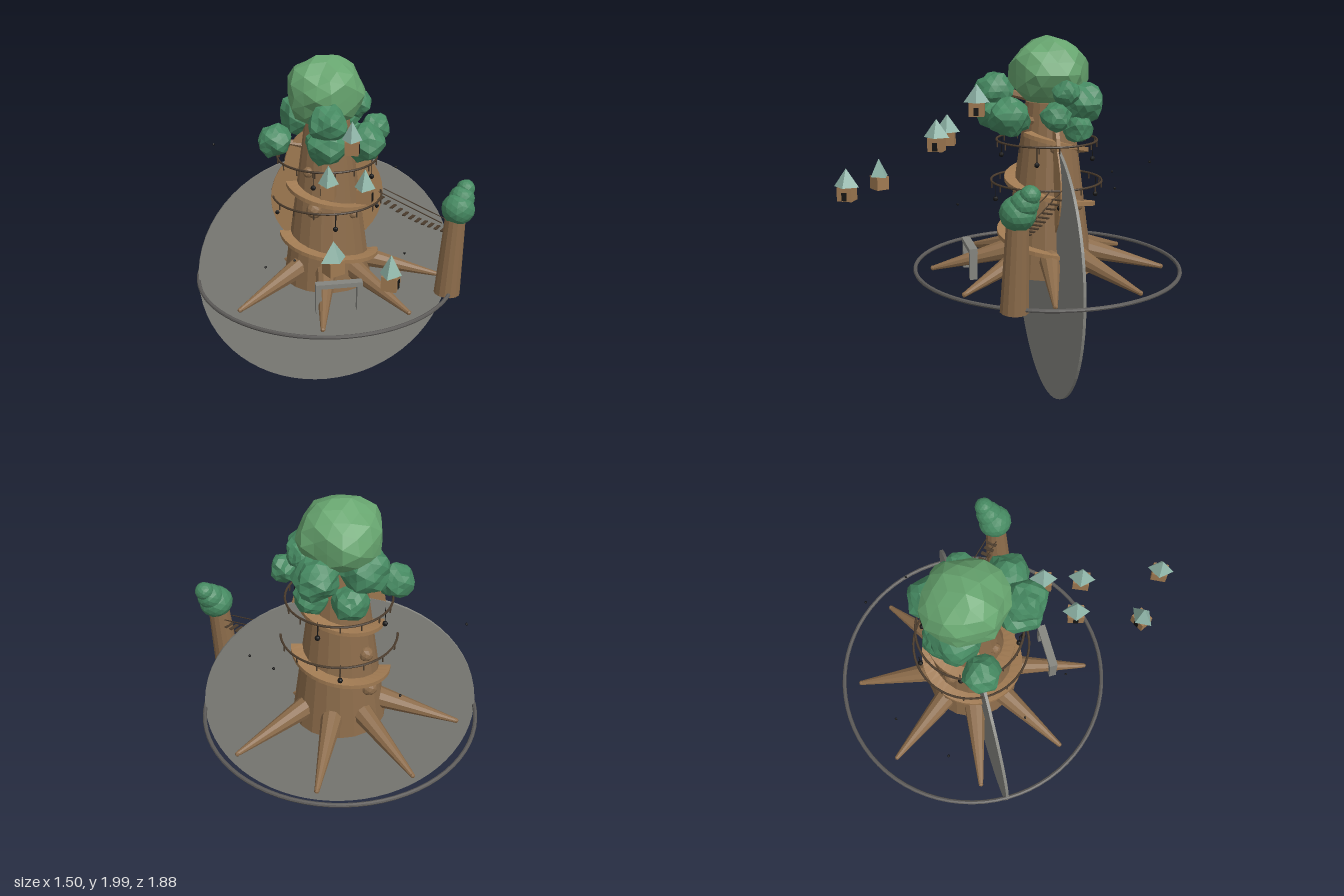
import * as THREE from 'three';

const CX = -0.01, CZ = -0.2, GROUND = 0.735;
const mat = (color, side = THREE.FrontSide) => new THREE.MeshStandardMaterial({ color, side, flatShading: true });
const bark = mat(0x8b6b4a), wood = mat(0xa07a52), darkWood = mat(0x4a3b2c), stone = mat(0x85857f);
const rimStone = mat(0x5c5a58), leaf = mat(0x67a56f), leafDark = mat(0x468a62), roofMat = mat(0x8fb5a8), black = mat(0x151515);
const deckMat = mat(0xa07a52, THREE.DoubleSide);
const V = (x, y, z) => new THREE.Vector3(x, y, z);
const trunkRadius = y => 0.25 - 0.137 * (y - GROUND);

export function createModel() {
  const model = new THREE.Group();

  const add = (name, geometry, material, p = [0, 0, 0], parent = model) => {
    const mesh = new THREE.Mesh(geometry, material);
    mesh.name = name;
    mesh.position.set(...p);
    parent.add(mesh);
    return mesh;
  };

  // Tapered rod from point a to point b
  const rod = (name, a, b, r0, r1, material, sides = 8) => {
    const d = b.clone().sub(a);
    const mesh = add(name, new THREE.CylinderGeometry(r1, r0, d.length(), sides), material);
    mesh.position.copy(a).add(b).multiplyScalar(0.5);
    mesh.quaternion.setFromUnitVectors(V(0, 1, 0), d.normalize());
    return mesh;
  };

  // Lumpy low-poly leaf mass
  const blob = (name, x, y, z, rx, ry, material, bump = 0.11, detail = 2) => {
    const g = new THREE.IcosahedronGeometry(1, detail), p = g.attributes.position, v = V(0, 0, 0);
    for (let i = 0; i < p.count; i++) {
      v.fromBufferAttribute(p, i).normalize();
      const n = Math.sin(v.x * 5 + x * 30) * Math.sin(v.y * 5 + y * 20) + 0.7 * Math.sin(v.z * 6 + v.x * 3 + z * 25);
      v.multiplyScalar(1 + bump * n);
      p.setXYZ(i, v.x * rx, v.y * ry, v.z * rx);
    }
    g.computeVertexNormals();
    return add(name, g, material, [x, y, z]);
  };

  // Upright stone disc and level rim
  add('groundDisc', new THREE.CylinderGeometry(0.73, 0.73, 0.015, 64), stone, [-0.015, GROUND, CZ]).rotation.x = Math.PI / 2;
  add('groundRim', new THREE.TorusGeometry(0.73, 0.011, 8, 72), rimStone, [-0.015, 0.745, CZ]).rotation.x = Math.PI / 2;

  // Trunk
  const trunkTop = 1.66, h = trunkTop - GROUND;
  add('trunk', new THREE.CylinderGeometry(trunkRadius(trunkTop), 0.25, h, 20), bark, [CX, GROUND + h / 2, CZ]);

  // Roots, evenly spread with blunt tips
  for (let i = 0; i < 8; i++) {
    const a = 0.19 + i * Math.PI / 4, c = Math.cos(a), s = Math.sin(a);
    rod('root', V(CX + c * 0.15, 0.86, CZ + s * 0.15), V(CX + c * 0.63, 0.735, CZ + s * 0.63), 0.065, 0.013, bark, 10);
    add('rootTip', new THREE.SphereGeometry(0.014, 6, 5), bark, [CX + c * 0.635, 0.734, CZ + s * 0.635]);
  }

  // Knots: angle, height, radius
  for (const [a, y, r] of [[2.1, 1.2, 0.045], [0.9, 1.16, 0.025], [0, 1.43, 0.032], [3.93, 1.2, 0.04], [3.93, 1.0, 0.045], [5.6, 1.12, 0.03], [2.4, 1.4, 0.03]])
    add('knot', new THREE.IcosahedronGeometry(r, 1), bark,
      [CX + Math.cos(a) * trunkRadius(y), y, CZ + Math.sin(a) * trunkRadius(y)]);

  // Spiral ramp: a rectangular section swept up the trunk
  const steps = 84, pos = [], idx = [];
  for (let i = 0; i <= steps; i++) {
    const t = i / steps * 2.15, a = t * Math.PI * 2, y = 0.87 + 0.295 * t, r = trunkRadius(y);
    for (const [dr, dy] of [[-0.02, -0.011], [0.058, -0.011], [0.058, 0.011], [-0.02, 0.011]])
      pos.push(CX + Math.cos(a) * (r + dr), y + dy, CZ + Math.sin(a) * (r + dr));
    if (i < steps) for (let k = 0; k < 4; k++) {
      const p = i * 4 + k, q = i * 4 + (k + 1) % 4;
      idx.push(p, q, q + 4, p, q + 4, p + 4);
    }
  }
  const e = steps * 4;
  idx.push(0, 2, 1, 0, 3, 2, e, e + 1, e + 2, e, e + 2, e + 3);
  const ramp = new THREE.BufferGeometry();
  ramp.setAttribute('position', new THREE.Float32BufferAttribute(pos, 3));
  ramp.setIndex(idx);
  ramp.computeVertexNormals();
  add('spiralRamp', ramp, deckMat);

  // Upright decks, railings with posts, hanging lanterns
  for (const [deckY, deckR, railY, railR, turn] of [[1.22, 0.312, 1.235, 0.3, 0], [1.4, 0.235, 1.455, 0.27, 0.45]]) {
    add('deck', new THREE.CylinderGeometry(deckR, deckR, 0.02, 32), wood, [CX, deckY, CZ + 0.005]).rotation.x = Math.PI / 2;
    add('railing', new THREE.TorusGeometry(railR, 0.006, 6, 48), darkWood, [CX, railY, CZ + 0.01]).rotation.x = Math.PI / 2;
    for (let i = 0; i < 16; i++) {
      const a = i * Math.PI / 8;
      add('railPost', new THREE.CylinderGeometry(0.004, 0.004, 0.036, 5), darkWood,
        [CX + Math.cos(a) * railR, railY - 0.016, CZ + 0.01 + Math.sin(a) * railR]);
    }
    for (let i = 0; i < 4; i++) {
      const a = turn + i * Math.PI / 2, r = railR - 0.02;
      const x = CX + Math.cos(a) * r, z = CZ + 0.01 + Math.sin(a) * r;
      add('lantern', new THREE.SphereGeometry(0.014, 8, 6), black, [x, railY - 0.095, z]);
      rod('lanternCord', V(x, railY - 0.09, z), V(x, railY, z), 0.002, 0.002, black, 4);
    }
  }

  // Canopy: one large crown over a ring of smaller clumps
  blob('crown', -0.02, 1.81, -0.2, 0.21, 0.185, leaf, 0.07);
  for (const [x, y, z, r] of [[-0.29, 1.55, -0.2, 0.09], [-0.05, 1.72, 0.08, 0.1], [0.15, 1.6, 0.05, 0.105],
    [-0.05, 1.6, 0.06, 0.11], [0.25, 1.61, -0.17, 0.075], [0.17, 1.72, -0.24, 0.07], [-0.06, 1.52, -0.35, 0.09],
    [0.1, 1.66, -0.35, 0.11], [-0.13, 1.66, -0.28, 0.12], [0.13, 1.53, -0.32, 0.08]]) {
    blob('leafClump', x, y, z, r, r * 0.95, leafDark);
    rod('branch', V(CX, y - 0.06, CZ), V(x, y, z), 0.03, 0.015, bark, 6);
  }

  // Leaning side tower with stacked leaf top
  rod('sideTower', V(0.61, 0.725, 0.125), V(0.637, 1.19, 0.115), 0.072, 0.055, bark, 14);
  for (const [x, y, z, r] of [[0.647, 1.225, 0.115, 0.09], [0.672, 1.275, 0.09, 0.07], [0.697, 1.32, 0.07, 0.05]])
    blob('towerLeaves', x, y, z, r, r * 0.95, leafDark, 0.02);

  // Plank bridge with two ropes
  const from = V(0.29, 1.19, -0.17), to = V(0.585, 1.09, 0.08), side = V(0.25, 0, -0.295).normalize();
  for (let i = 0; i <= 10; i++) {
    const t = i / 10, p = from.clone().lerp(to, t);
    const plank = add('bridgePlank', new THREE.BoxGeometry(0.018, 0.006, 0.055), darkWood,
      [p.x, p.y - 0.02 * Math.sin(t * Math.PI), p.z]);
    plank.rotation.y = -Math.atan2(to.z - from.z, to.x - from.x);
  }
  for (const s of [-0.028, 0.028]) {
    const off = side.clone().multiplyScalar(s).add(V(0, 0.05, 0));
    rod('bridgeRope', from.clone().add(off), to.clone().add(off), 0.003, 0.003, darkWood, 5);
  }

  // Stone gate
  for (const x of [-0.125, 0.095]) add('gatePost', new THREE.BoxGeometry(0.03, 0.16, 0.04), stone, [x, 0.81, 0.235]);
  add('gateBeam', new THREE.BoxGeometry(0.25, 0.025, 0.045), stone, [-0.015, 0.888, 0.235]);

  // Floating huts: x, base height, z, yaw
  for (const [x, y, z, yaw] of [[0.055, 1.6, 0.2, 1.3], [-0.085, 1.43, 0.335, -1.85], [0.08, 1.43, 0.415, 1.15], [-0.12, 1.2, 0.7, -2.7], [0.11, 1.2, 0.88, 1.1]]) {
    const hut = new THREE.Group();
    hut.name = 'hut';
    hut.position.set(x, y, z);
    hut.rotation.y = yaw;
    model.add(hut);
    add('hutWalls', new THREE.BoxGeometry(0.08, 0.07, 0.07), wood, [0, 0.035, 0], hut);
    add('hutRoof', new THREE.ConeGeometry(0.068, 0.095, 4), roofMat, [0, 0.1175, 0], hut).scale.z = 0.75;
    add('hutDoor', new THREE.BoxGeometry(0.026, 0.042, 0.006), black, [0, 0.025, 0.036], hut);
  }

  // Fireflies
  for (const p of [[-0.61, 1.46, -0.45], [0.3, 1.37, -0.66], [-0.29, 1.2, -0.66], [0.43, 1.27, -0.43],
    [0.365, 0.98, 0.11], [-0.25, 1.06, 0.26], [-0.38, 0.9, 0]])
    add('firefly', new THREE.SphereGeometry(0.007, 6, 5), black, p);

  return model;
}
